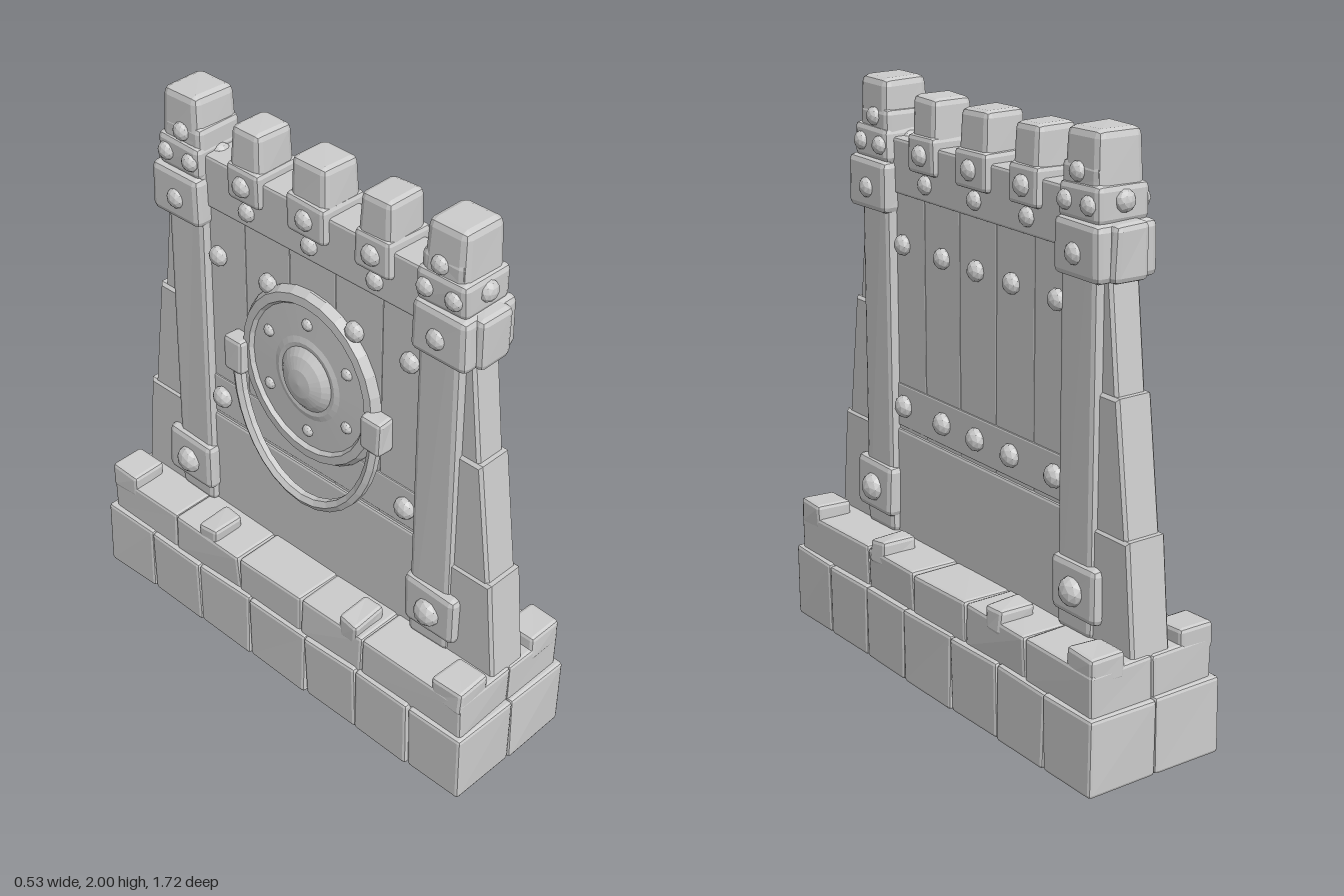
import * as THREE from 'three';
import { RoundedBoxGeometry } from 'three/addons/geometries/RoundedBoxGeometry.js';

export function createModel() {
  const model = new THREE.Group();
  const stone = new THREE.MeshStandardMaterial({ color: 0xcccccc, flatShading: true });
  stone.name = 'pale stone';

  const add = (name, geo, x = 0, y = 0, z = 0) => {
    const mesh = new THREE.Mesh(geo, stone);
    mesh.name = name;
    mesh.position.set(x, y, z);
    model.add(mesh);
    return mesh;
  };

  // Chamfered block given by its extents; rough shifts its corners for a hewn look
  let seed = 7;
  const rand = () => (seed = (seed * 16807) % 2147483647) / 2147483647 - 0.5;
  const block = (name, x0, x1, y0, y1, z0, z1, bevel = 0.012, rough = 0, taper = 1) => {
    const w = x1 - x0, h = y1 - y0, d = z1 - z0;
    const geo = new RoundedBoxGeometry(w, h, d, 1, bevel);
    const p = geo.attributes.position;
    const shifts = Array.from({ length: 8 }, () => [rand() * rough, rand() * rough, rand() * rough]);
    for (let i = 0; i < p.count; i++) {
      const x = p.getX(i), y = p.getY(i), z = p.getZ(i);
      const s = shifts[(x > 0 ? 1 : 0) + (y > 0 ? 2 : 0) + (z > 0 ? 4 : 0)];
      const k = y > 0 ? taper : 1;
      p.setXYZ(i, x * k + s[0], y + (y > 0 ? s[1] : 0), z * k + s[2]);
    }
    return add(name, geo, (x0 + x1) / 2, (y0 + y1) / 2, (z0 + z1) / 2);
  };

  // Faceted stud flattened along the axis it sticks out of
  const rivet = (x, y, z, r = 0.036, axis = 'x') => {
    const m = add('rivet', new THREE.IcosahedronGeometry(r, 1), x, y, z);
    m.scale[axis] = 0.75;
    m.rotation.set(axis === 'x' ? 0.4 : 0, 0, axis === 'z' ? 0.4 : 0);
  };

  // Foundation: two courses of stones, split along the middle
  const lower = [-0.855, -0.62, -0.37, -0.12, 0.155, 0.39, 0.626, 0.855];
  const upper = [-0.835, -0.5, -0.18, 0.12, 0.4, 0.835];
  for (const s of [-1, 1]) {
    const course = (name, cuts, half, y0, y1) => {
      for (let i = 0; i < cuts.length - 1; i++) {
        block(name, s > 0 ? 0 : -half, s > 0 ? half : 0, y0, y1, cuts[i], cuts[i + 1], 0.012, 0.008);
      }
    };
    course('lowerStone', lower, 0.26, 0, 0.265);
    course('upperStone', upper, 0.242, 0.25, 0.405);
    // Raised stones on the rim
    for (const e of [-1, 1]) {
      const raised = (name, a, b, top) => block(name, s > 0 ? 0.11 : -0.245, s > 0 ? 0.245 : -0.11,
        0.36, top, e > 0 ? a : -b, e > 0 ? b : -a, 0.014, 0.008);
      raised('cornerStone', 0.71, 0.835, 0.455);
      raised('rimStone', 0.295, 0.38, 0.45);
    }
  }

  // Wall: planks with a thicker foot board and head beam
  const planks = [-0.5, -0.3, -0.1, 0.1, 0.3, 0.5];
  for (let i = 0; i < 5; i++) {
    block('plank', -0.058, 0.058, 0.75, 1.65, planks[i], planks[i + 1], 0.004);
  }
  block('footBoard', -0.066, 0.066, 0.38, 0.79, -0.5, 0.5, 0.01);
  block('lowerBand', -0.063, 0.063, 0.8, 0.955, -0.5, 0.5, 0.006);
  block('headBeam', -0.068, 0.068, 1.62, 1.81, -0.5, 0.5, 0.01);
  for (const s of [-1, 1]) {
    for (const z of [-0.42, -0.19, 0, 0.19, 0.42]) {
      if (s > 0 || z !== 0) rivet(s * 0.066, 1.45, z);
      if (s > 0 || Math.abs(z) > 0.3) rivet(s * 0.07, 0.88, z, 0.04);
    }
  }

  // Battlements
  for (const z of [-0.275, 0, 0.275]) {
    const w = z ? 0.068 : 0.078;
    block('battlementFoot', -0.09, 0.09, 1.715, 1.845, z - w - 0.006, z + w + 0.006, 0.016, 0.006);
    block('battlement', -0.08, 0.08, 1.8, 1.97, z - w, z + w, 0.022, 0.004, 0.93);
    for (const s of [-1, 1]) {
      rivet(s * 0.09, 1.78, z, 0.036);
      rivet(s * 0.07, 1.68, z, 0.033);
    }
  }

  // Tapered buttress section, from z = 0.5 to an outer edge sloping inward
  const buttress = (e, y0, y1, out0, out1, half) => {
    const shape = new THREE.Shape([
      new THREE.Vector2(-0.5, y0), new THREE.Vector2(-0.5, y1),
      new THREE.Vector2(-out1 + 0.01, y1), new THREE.Vector2(-out0 + 0.01, y0),
    ]);
    const geo = new THREE.ExtrudeGeometry(shape, {
      depth: 2 * half - 0.02, bevelEnabled: true, bevelSize: 0.01, bevelThickness: 0.01, bevelSegments: 1,
    });
    geo.translate(0, 0, -half + 0.01);
    geo.rotateY(e > 0 ? Math.PI / 2 : -Math.PI / 2);
    add('buttress', geo);
  };

  // End posts with buttresses, bound by collars and feet
  for (const e of [-1, 1]) {
    const box = (name, half, y0, y1, a, b, ...rest) =>
      block(name, -half, half, y0, y1, e > 0 ? a : -b, e > 0 ? b : -a, ...rest);
    buttress(e, 0.4, 0.765, 0.825, 0.79, 0.076);
    buttress(e, 0.76, 1.2, 0.775, 0.72, 0.068);
    buttress(e, 1.19, 1.6, 0.705, 0.66, 0.058);
    box('post', 0.09, 0.4, 1.9, 0.465, 0.635, 0.02, 0.006);
    box('postFoot', 0.108, 0.46, 0.65, 0.455, 0.675, 0.022, 0.006);
    box('postCollar', 0.115, 1.55, 1.73, 0.455, 0.675, 0.022, 0.006);
    box('buttressCollar', 0.066, 1.55, 1.73, 0.6, 0.7, 0.02, 0.006);
    box('postNeck', 0.1, 1.72, 1.84, 0.46, 0.655, 0.02, 0.006);
    box('postCap', 0.09, 1.81, 2.0, 0.472, 0.642, 0.026, 0.004, 0.93);
    for (const s of [-1, 1]) {
      rivet(s * 0.11, 0.55, e * 0.565, 0.05);
      rivet(s * 0.112, 1.63, e * 0.56, 0.036);
      rivet(s * 0.09, 1.87, e * 0.545, 0.032);
      rivet(s * 0.1, 1.78, e * 0.5, 0.032);
      rivet(s * 0.1, 1.78, e * 0.61, 0.032);
    }
    rivet(0, 1.79, e * 0.655, 0.036, 'z');
    rivet(0, 1.79, e * 0.46, 0.036, 'z');
  }

  // Round shield with a raised rim and boss on the right face
  const profile = [[0, 0.06], [0.05, 0.055], [0.09, 0.04], [0.115, 0.02], [0.13, 0.022], [0.15, 0.016],
    [0.26, 0.012], [0.27, 0.026], [0.3, 0.024], [0.315, 0], [0.315, -0.02]];
  const shieldGeo = new THREE.LatheGeometry(profile.reverse().map(([r, h]) => new THREE.Vector2(r, h)), 28);
  shieldGeo.rotateZ(Math.PI / 2);
  shieldGeo.scale(1, 1.04, 0.96);
  add('shield', shieldGeo, -0.066, 1.18, 0);
  for (let i = 0; i < 6; i++) {
    const a = (i + 0.5) * Math.PI / 3;
    rivet(-0.08, 1.18 + 0.21 * Math.sin(a), 0.2 * Math.cos(a), 0.022);
  }

  // Hanging handle held by two brackets
  const points = [];
  for (let i = 0; i <= 12; i++) {
    const a = i * Math.PI / 12;
    points.push(new THREE.Vector3(-0.092 - 0.012 * Math.sin(a), 1.12 - 0.42 * Math.sin(a), 0.31 * Math.cos(a)));
  }
  add('handle', new THREE.TubeGeometry(new THREE.CatmullRomCurve3(points), 18, 0.022, 6));
  for (const e of [-1, 1]) {
    block('handleBracket', -0.122, -0.05, 1.07, 1.2, e * 0.31 - 0.045, e * 0.31 + 0.045, 0.014, 0.006);
  }

  return model;
}
